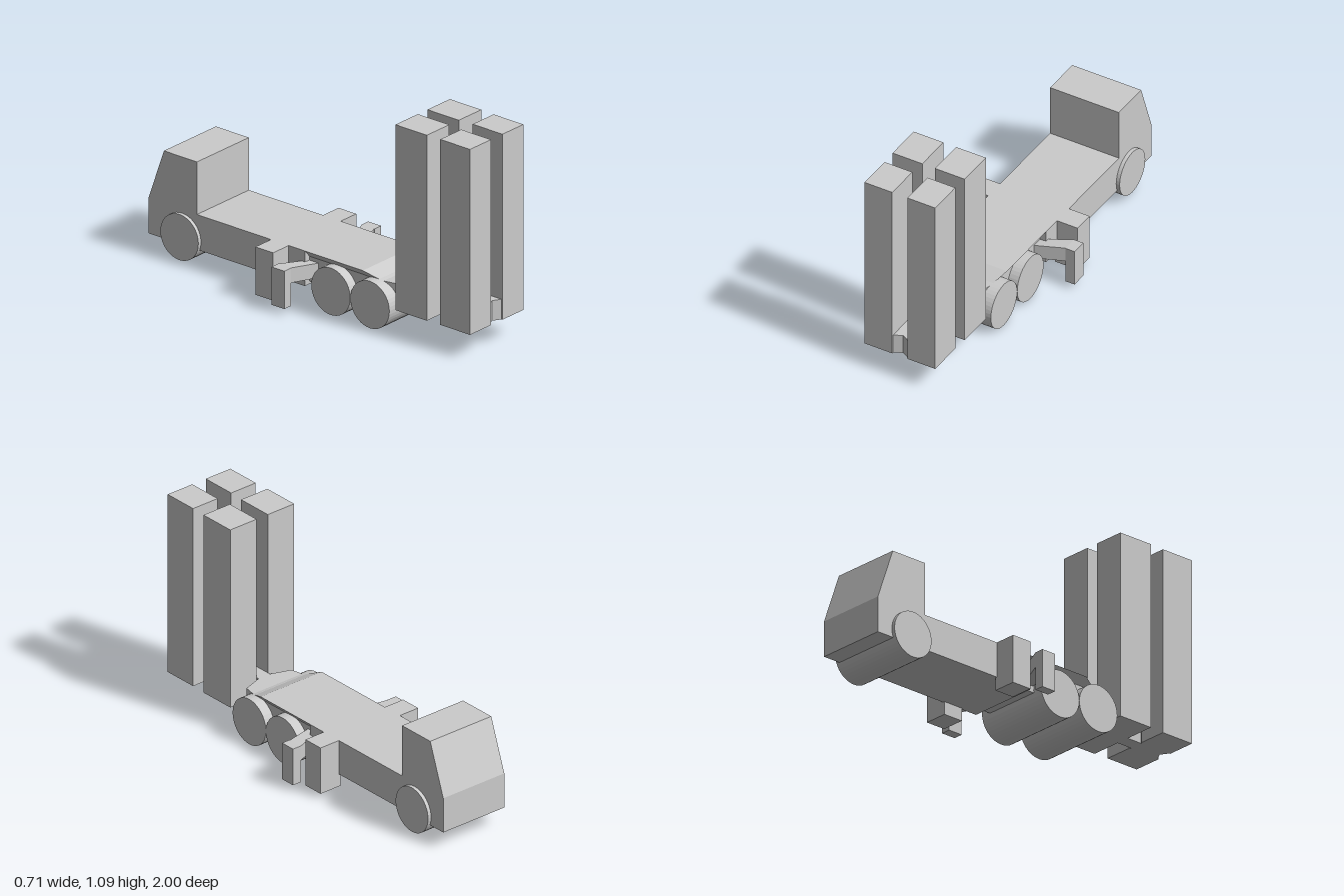
import * as THREE from 'three';
import { ConvexGeometry } from 'three/addons/geometries/ConvexGeometry.js';

const material = new THREE.MeshStandardMaterial({ color: 0xcccccc, flatShading: true });

export function createModel() {
  const model = new THREE.Group();

  const add = (name, geometry) => {
    const mesh = new THREE.Mesh(geometry, material);
    mesh.name = name;
    model.add(mesh);
    return mesh;
  };

  // Box given by its limits on each axis
  const box = (name, [x0, x1], [y0, y1], [z0, z1]) =>
    add(name, new THREE.BoxGeometry(x1 - x0, y1 - y0, z1 - z0)
      .translate((x0 + x1) / 2, (y0 + y1) / 2, (z0 + z1) / 2));

  // Convex solid around a few corners
  const hull = (name, corners) =>
    add(name, new ConvexGeometry(corners.map((c) => new THREE.Vector3(...c))));

  // Plan outline of [x, z] points raised from y0 to y1
  const plan = (name, outline, y0, y1) => {
    const shape = new THREE.Shape(outline.map(([x, z]) => new THREE.Vector2(x, -z)));
    const geometry = new THREE.ExtrudeGeometry(shape, { depth: y1 - y0, bevelEnabled: false });
    return add(name, geometry.rotateX(-Math.PI / 2).translate(0, y0, 0));
  };

  // Chassis: full-width bed, then a narrower frame with chamfered deck over the wheels
  box('bed', [-0.19, 0.19], [0.096, 0.277], [-0.72, -0.03]);
  box('axleFrame', [-0.155, 0.155], [0.11, 0.24], [-0.04, 0.42]);
  const deck = [];
  for (const s of [-1, 1]) {
    deck.push([s * 0.19, 0.277, -0.05], [s * 0.19, 0.277, 0.33]);
    deck.push([s * 0.155, 0.238, -0.05], [s * 0.155, 0.238, 0.42]);
  }
  hull('deck', deck);

  // Cab with a sloping windscreen
  const profile = [[-0.7, 0.096], [-0.7, 0.548], [-0.905, 0.548], [-1, 0.28], [-1, 0.096]];
  hull('cab', profile.flatMap(([z, y]) => [[-0.19, y, z], [0.19, y, z]]));

  // Neck tapering into the beam that carries the launch tubes
  plan('neck', [[-0.155, 0.4], [-0.155, 0.42], [-0.14, 0.49], [-0.036, 0.525],
    [0.036, 0.525], [0.14, 0.49], [0.155, 0.42], [0.155, 0.4]], 0.135, 0.239);
  plan('tubeBeam', [[-0.036, 0.5], [-0.036, 0.82], [-0.044, 0.82], [-0.044, 0.995], [0, 0.97],
    [0.044, 0.995], [0.044, 0.82], [0.036, 0.82], [0.036, 0.5]], 0.135, 0.239);

  // Wheel pairs, each one wide drum
  for (const [z, y, r] of [[0.39, 0.124, 0.121], [0.147, 0.124, 0.121], [-0.793, 0.14, 0.118]]) {
    const wheel = add('wheelPair', new THREE.CylinderGeometry(r, r, 0.418, 40));
    wheel.rotation.z = Math.PI / 2;
    wheel.position.set(0, y, z);
  }

  for (const s of [-1, 1]) {
    const side = s > 0 ? 'left' : 'right';
    const span = (a, b) => (s > 0 ? [a, b] : [-b, -a]);

    // Upright launch tubes
    box(side + 'FrontTube', span(0.042, 0.195), [0.135, 1.092], [0.815, 1]);
    box(side + 'RearTube', span(0.035, 0.199), [0.135, 1.092], [0.54, 0.735]);

    // Square support leg
    box(side + 'SupportLeg', span(0.18, 0.304), [0.03, 0.277], [-0.24, -0.13]);

    // Stabiliser: swept arm with a downward foot
    const arm = [];
    for (const [x, y0, y1, z0, z1] of [[0.14, 0.142, 0.217, -0.027, 0.03],
      [0.304, 0.153, 0.23, -0.098, -0.02]]) {
      for (const y of [y0, y1]) arm.push([s * x, y, z0], [s * x, y, z1]);
    }
    hull(side + 'StabiliserArm', arm);
    box(side + 'StabiliserFoot', span(0.304, 0.354), [0.035, 0.23], [-0.098, -0.018]);
  }

  return model;
}
